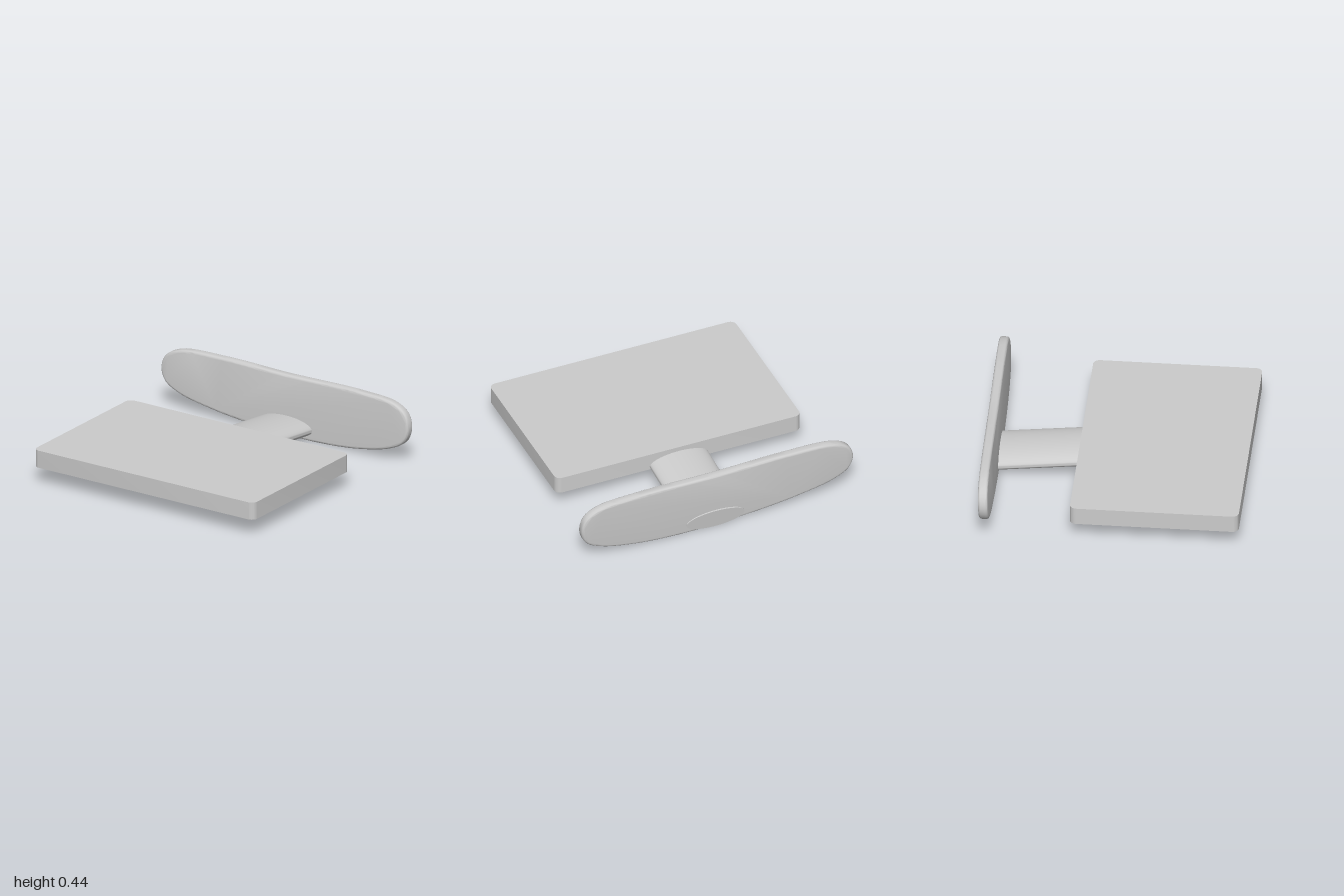
import * as THREE from 'three';
import { toCreasedNormals } from 'three/addons/utils/BufferGeometryUtils.js';

const material = new THREE.MeshStandardMaterial({ color: 0xcccccc });

function addPart(group, name, geometry) {
  const mesh = new THREE.Mesh(geometry, material);
  mesh.name = name;
  group.add(mesh);
  return mesh;
}

// Flat slab with rounded plan corners
function slabGeometry(width, depth, height, r) {
  const x = width / 2, y = depth / 2;
  const shape = new THREE.Shape();
  shape.absarc(x - r, y - r, r, 0, Math.PI / 2);
  shape.absarc(-x + r, y - r, r, Math.PI / 2, Math.PI);
  shape.absarc(-x + r, -y + r, r, Math.PI, Math.PI * 1.5);
  shape.absarc(x - r, -y + r, r, Math.PI * 1.5, Math.PI * 2);
  const geometry = new THREE.ExtrudeGeometry(shape, { depth: height, bevelEnabled: false, curveSegments: 10 });
  geometry.rotateX(-Math.PI / 2);
  return toCreasedNormals(geometry, 0.6);
}

// Upright plate with a freehand outline, slightly yawed and leaning back
function plateGeometry() {
  const outline = [
    [1, 0.24], [0.975, 0.345], [0.88, 0.41], [0.6, 0.437], [0, 0.435], [-0.5, 0.445],
    [-0.86, 0.425], [-0.97, 0.365], [-1, 0.275], [-0.965, 0.185], [-0.85, 0.12], [-0.6, 0.065],
    [-0.3, 0.028], [0, 0.009], [0.3, 0.006], [0.6, 0.03], [0.85, 0.085], [0.965, 0.15],
  ].map(([x, y]) => new THREE.Vector3(x, y, 0));
  const curve = new THREE.CatmullRomCurve3(outline, true, 'centripetal');
  const shape = new THREE.Shape(curve.getSpacedPoints(160).slice(0, -1).map(p => new THREE.Vector2(p.x, p.y)));
  const bevel = 0.018, thickness = 0.066;
  const geometry = new THREE.ExtrudeGeometry(shape, {
    depth: thickness - 2 * bevel, bevelThickness: bevel, bevelSize: bevel, bevelOffset: -bevel, bevelSegments: 4,
  });
  geometry.translate(0, 0, bevel - thickness);
  const p = geometry.attributes.position;
  for (let i = 0; i < p.count; i++) {
    p.setZ(i, p.getZ(i) - 0.806 - 0.0125 * p.getX(i) - 0.04 * (p.getY(i) - 0.22));
  }
  return toCreasedNormals(geometry, 0.7);
}

// Oval arm running from under the slab through the plate
function armGeometry(length) {
  const geometry = new THREE.CylinderGeometry(1, 1, length, 64);
  geometry.rotateX(Math.PI / 2);
  geometry.scale(0.213, 0.069, 1);
  return toCreasedNormals(geometry, 0.6);
}

export function createModel() {
  const group = new THREE.Group();
  group.name = 'slabOnArm';

  const slab = addPart(group, 'slab', slabGeometry(1.795, 1.14, 0.123, 0.045));
  slab.position.set(0.017, 0.12, 0.315);

  addPart(group, 'backPlate', plateGeometry());

  const front = new THREE.Vector3(0.019, 0.162, -0.072);
  const back = new THREE.Vector3(0.017, 0.072, -0.872);
  const arm = addPart(group, 'arm', armGeometry(front.distanceTo(back)));
  arm.position.copy(front).add(back).multiplyScalar(0.5);
  arm.lookAt(front);

  return group;
}
